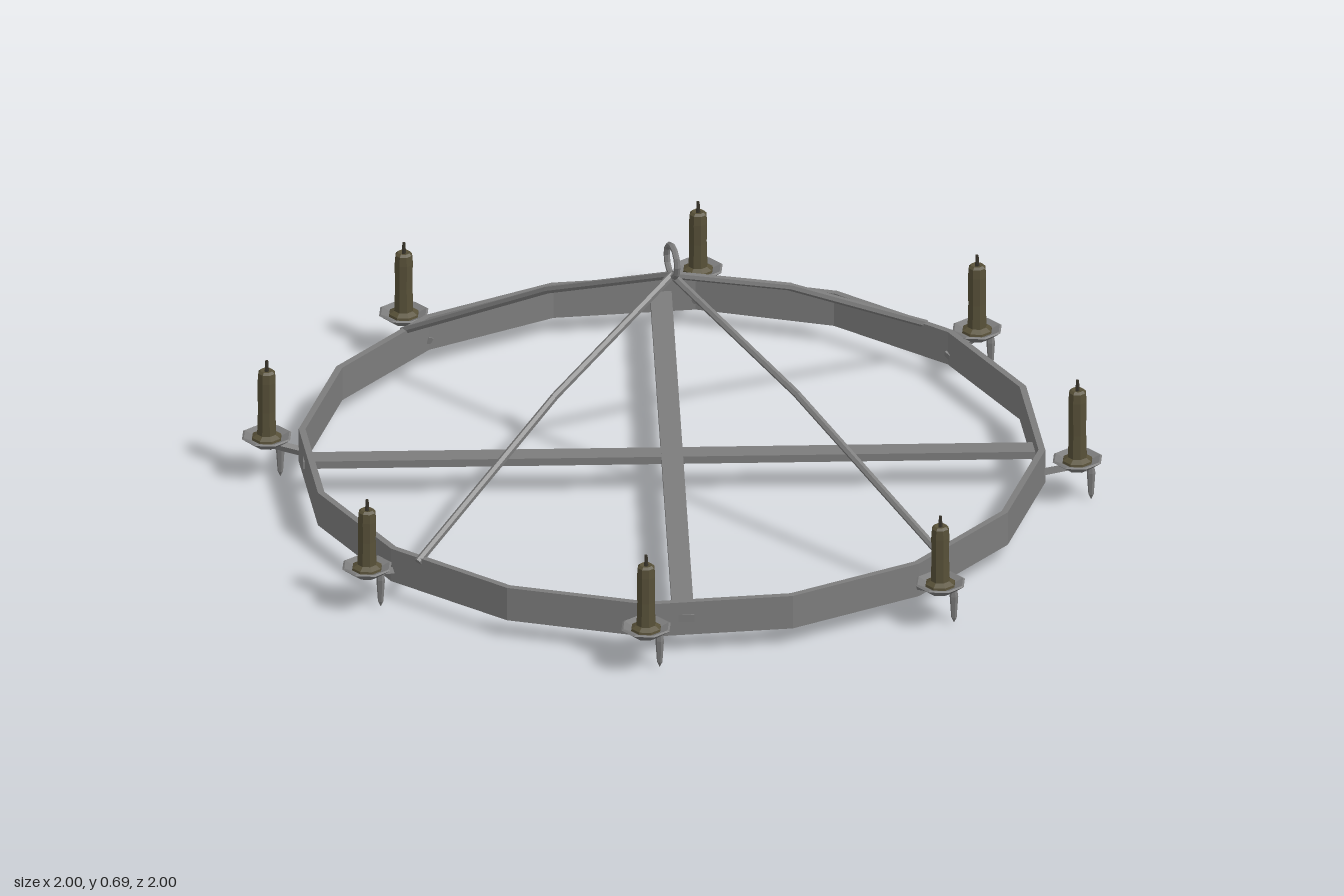
import * as THREE from 'three';

const paint = (name, color) => {
  const m = new THREE.MeshStandardMaterial({ color, flatShading: true });
  m.name = name;
  return m;
};

export function createModel() {
  const iron = paint('iron', 0x7c7c7c);
  const wax = paint('old wax', 0x575038);
  const char = paint('charred wick', 0x38342a);
  const model = new THREE.Group();
  model.name = 'chandelier';

  const add = (parent, name, geometry, material, x = 0, y = 0, z = 0) => {
    const mesh = new THREE.Mesh(geometry, material);
    mesh.name = name;
    mesh.position.set(x, y, z);
    parent.add(mesh);
    return mesh;
  };
  const lathe = (points, sides) =>
    new THREE.LatheGeometry(points.map(([r, y]) => new THREE.Vector2(r, y)), sides);
  // Straight rod between two points
  const rod = (parent, name, a, b, radius, sides) => {
    const dir = b.clone().sub(a);
    const mesh = add(parent, name, new THREE.CylinderGeometry(radius, radius, dir.length(), sides), iron);
    mesh.position.copy(a).add(b).multiplyScalar(0.5);
    mesh.quaternion.setFromUnitVectors(new THREE.Vector3(0, 1, 0), dir.normalize());
    return mesh;
  };

  // Sixteen-sided hoop with thin walls
  add(model, 'hoop', lathe([[0.915, 0.05], [0.932, 0.05], [0.932, 0.14], [0.915, 0.14], [0.915, 0.05]], 16), iron);

  // Two flat crossbars whose ends just pass through the hoop
  const barAngle = Math.atan2(0.27, 0.88);
  for (const [i, turn] of [0, Math.PI / 2].entries()) {
    const bar = add(model, 'crossbar', new THREE.BoxGeometry(0.054, 0.02, 1.84), iron, 0, 0.096 - i * 0.001, 0);
    bar.rotation.y = turn - barAngle;
  }

  // Four slightly bent suspension rods
  const rodAngle = Math.atan2(0.43, 0.815);
  for (let i = 0; i < 4; i++) {
    const a = rodAngle + i * Math.PI / 2;
    const at = (r, y) => new THREE.Vector3(Math.sin(a) * r, y, Math.cos(a) * r);
    rod(model, 'lowerRod', at(0.922, 0.13), at(0.425, 0.412), 0.01, 6);
    rod(model, 'upperRod', at(0.43, 0.41), at(0, 0.597), 0.01, 6);
  }

  // Hanging ring at the apex
  const ring = add(model, 'hangingRing', new THREE.TorusGeometry(0.041, 0.008, 6, 12), iron, 0, 0.636, 0);
  ring.rotation.y = Math.PI / 2;

  // Candle holders around the hoop, with uneven candle heights
  const tops = [0.30, 0.335, 0.32, 0.30, 0.31, 0.325, 0.30, 0.315];
  tops.forEach((top, i) => {
    const a = Math.PI / 8 + i * Math.PI / 4;
    const holder = new THREE.Group();
    holder.name = 'candleHolder';
    holder.position.set(Math.sin(a) * 1.012, 0, Math.cos(a) * 1.012);
    model.add(holder);

    // Bracket from the hoop to the drip pan
    const inward = (d, y) => new THREE.Vector3(-Math.sin(a) * d, y, -Math.cos(a) * d);
    rod(holder, 'bracket', inward(0.1, 0.075), inward(0, 0.1), 0.012, 4);

    // Octagonal drip pan and pointed spike
    add(holder, 'dripPan', lathe([[0, 0.088], [0.032, 0.094], [0.065, 0.118], [0.06, 0.121], [0.03, 0.108], [0, 0.108]], 8), iron);
    add(holder, 'spike', lathe([[0, 0.0], [0.007, 0.015], [0.011, 0.075], [0.007, 0.1], [0, 0.1]], 6), iron, 0.036);

    // Candle with melted foot, drip collar and wick
    const t = top - 0.025;
    add(holder, 'candle', lathe([[0.04, 0.108], [0.038, 0.118], [0.025, 0.126], [0.023, 0.19],
      [0.024, t - 0.03], [0.022, t - 0.006], [0.016, t], [0, t - 0.004]], 8), wax);
    add(holder, 'wick', new THREE.CylinderGeometry(0.004, 0.006, 0.032, 5), char, 0, top - 0.014, 0);
  });

  return model;
}
